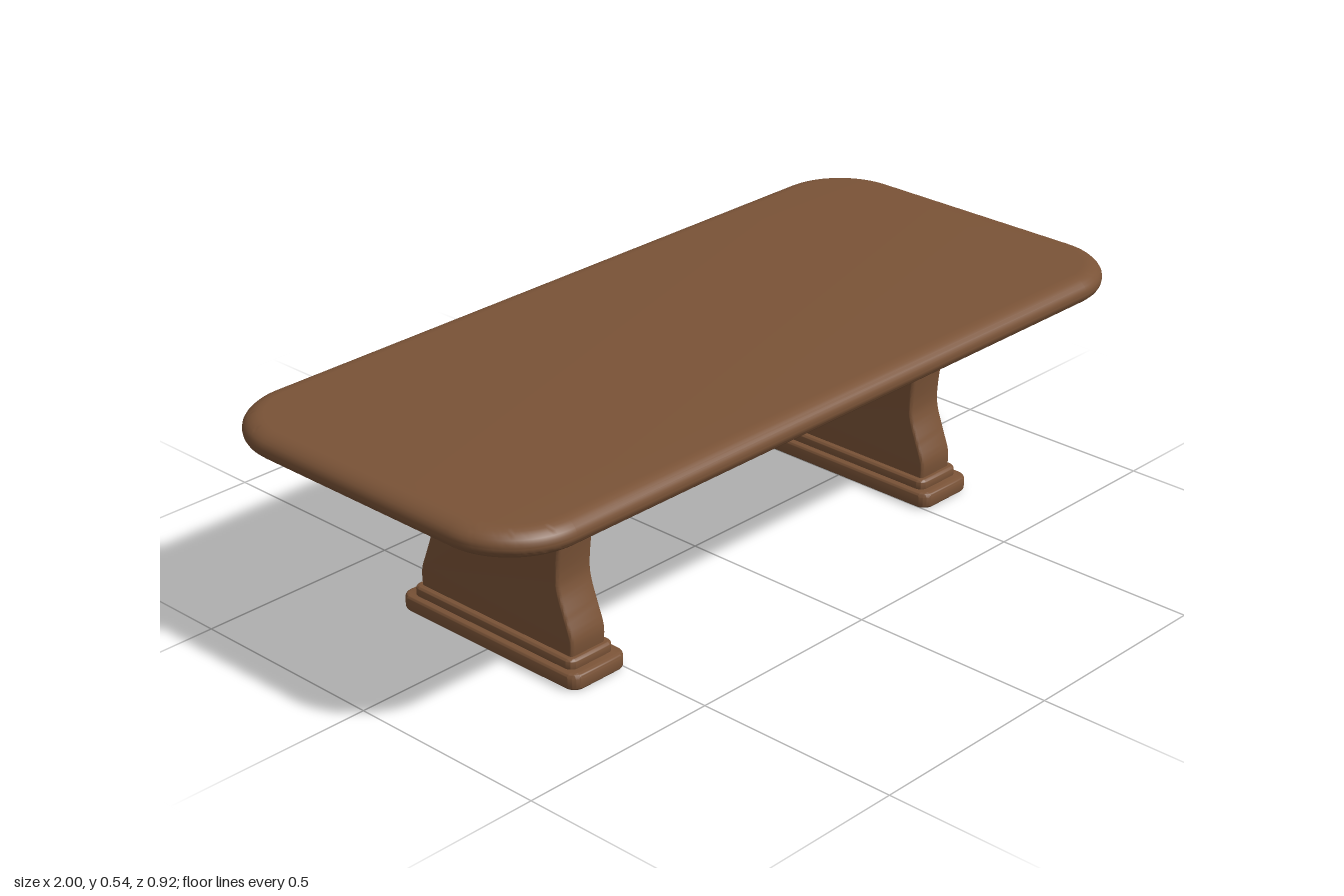
import * as THREE from 'three';
import { toCreasedNormals } from 'three/addons/utils/BufferGeometryUtils.js';

const wood = new THREE.MeshStandardMaterial({ color: 0x7a5337 });
wood.name = 'brown wood';

// Extrudes a shape to an exact depth, centred, with rounded edges inside the outline
function roundedExtrude(shape, depth, inset, rise) {
  const geo = new THREE.ExtrudeGeometry(shape, {
    depth: depth - 2 * rise, bevelEnabled: true, bevelSize: inset, bevelOffset: -inset,
    bevelThickness: rise, bevelSegments: 6, curveSegments: 16,
  });
  geo.translate(0, 0, rise - depth / 2);
  return geo;
}

// Horizontal slab with rounded corners between heights y0 and y1
function slab(name, width, depth, radius, y0, y1, inset, rise) {
  const x = width / 2, z = depth / 2, r = radius;
  const shape = new THREE.Shape();
  shape.absarc(x - r, z - r, r, 0, Math.PI / 2);
  shape.absarc(-x + r, z - r, r, Math.PI / 2, Math.PI);
  shape.absarc(-x + r, -z + r, r, Math.PI, Math.PI * 1.5);
  shape.absarc(x - r, -z + r, r, Math.PI * 1.5, Math.PI * 2);
  const geo = roundedExtrude(shape, y1 - y0, inset, rise);
  geo.rotateX(-Math.PI / 2);
  geo.translate(0, (y0 + y1) / 2, 0);
  const mesh = new THREE.Mesh(toCreasedNormals(geo, 0.6), wood);
  mesh.name = name;
  return mesh;
}

// Waisted upright panel: half-depth and height pairs, mirrored front to back
function legPanel() {
  const side = new THREE.SplineCurve([
    [0.232, 0.05], [0.235, 0.1], [0.218, 0.15], [0.2, 0.2], [0.195, 0.24],
    [0.202, 0.31], [0.215, 0.38], [0.235, 0.44], [0.256, 0.485],
  ].map(([z, y]) => new THREE.Vector2(z, y))).getPoints(32);
  const mirrored = side.map((p) => new THREE.Vector2(-p.x, p.y)).reverse();
  const geo = roundedExtrude(new THREE.Shape([...side, ...mirrored]), 0.1, 0.008, 0.008);
  geo.rotateY(Math.PI / 2);
  const mesh = new THREE.Mesh(toCreasedNormals(geo, 0.6), wood);
  mesh.name = 'legPanel';
  return mesh;
}

export function createModel() {
  const table = new THREE.Group();
  table.name = 'table';

  // Top with a soft rounded rim
  table.add(slab('tableTop', 2, 0.92, 0.18, 0.475, 0.54, 0.045, 0.031));

  // Pedestal at each end: foot, stepped moulding and waisted panel
  for (const s of [-1, 1]) {
    const pedestal = new THREE.Group();
    pedestal.name = s > 0 ? 'leftPedestal' : 'rightPedestal';
    pedestal.add(
      slab('foot', 0.162, 0.545, 0.03, 0.003, 0.042, 0.01, 0.01),
      slab('footMoulding', 0.13, 0.495, 0.02, 0.035, 0.064, 0.008, 0.008),
      legPanel(),
    );
    pedestal.position.x = s * 0.574;
    table.add(pedestal);
  }
  return table;
}
